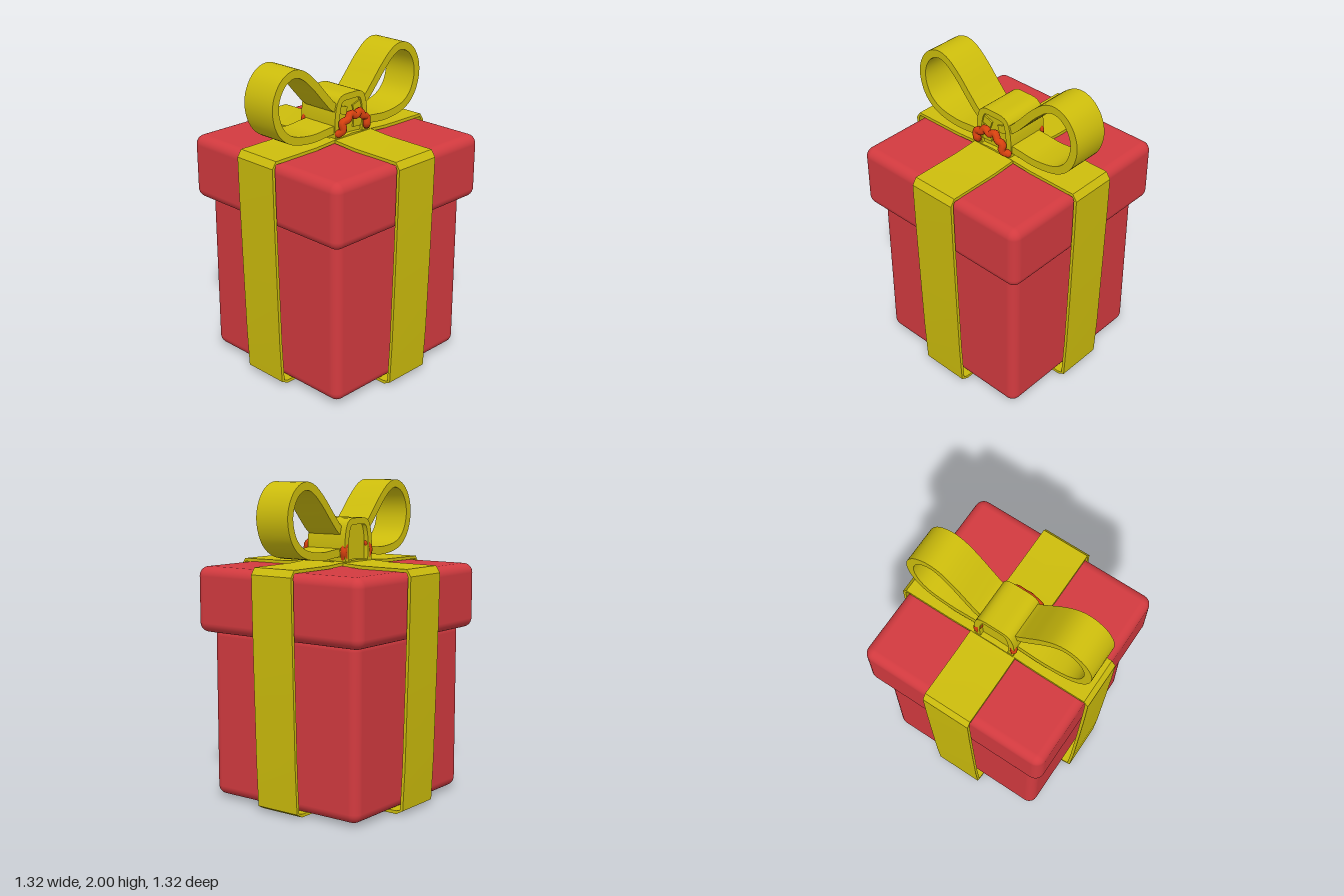
import * as THREE from 'three';
import { toCreasedNormals } from 'three/addons/utils/BufferGeometryUtils.js';
import { RoundedBoxGeometry } from 'three/addons/geometries/RoundedBoxGeometry.js';

const red = new THREE.MeshStandardMaterial({ color: 0xd23a3f });
const yellow = new THREE.MeshStandardMaterial({ color: 0xcdbd0c });
const orange = new THREE.MeshStandardMaterial({ color: 0xd9420f });

const vec = (list) => list.map(([x, y]) => new THREE.Vector2(x, y));
const smooth = (list, n) => new THREE.SplineCurve(vec(list)).getPoints(n);

// Ribbon that follows a centre line in the xy plane and spans z0..z1
function band(points, thickness, z0, z1) {
  const side = (sign) => points.map((p, i) => {
    const a = points[Math.max(i - 1, 0)], b = points[Math.min(i + 1, points.length - 1)];
    const t = b.clone().sub(a).normalize();
    return new THREE.Vector2(p.x - t.y * sign * thickness / 2, p.y + t.x * sign * thickness / 2);
  });
  const shape = new THREE.Shape([...side(1), ...side(-1).reverse()]);
  const geo = new THREE.ExtrudeGeometry(shape, { depth: z1 - z0, bevelEnabled: false });
  geo.translate(0, 0, z0);
  return toCreasedNormals(geo, 0.6);
}

export function createModel() {
  const model = new THREE.Group();
  const add = (name, geo, mat, parent = model) => {
    const mesh = new THREE.Mesh(geo, mat);
    mesh.name = name;
    parent.add(mesh);
    return mesh;
  };

  // Box and overhanging lid
  add('box', new RoundedBoxGeometry(1.115, 1.08, 1.115, 4, 0.06), red).position.y = 0.56;
  add('lid', new RoundedBoxGeometry(1.255, 0.41, 1.255, 4, 0.06), red).position.y = 1.27;

  // Two ribbons wrapped around the box, leaning in toward the base
  const half = [[0.3, 0.012], [0.57, 0.012], [0.608, 0.03], [0.622, 0.3], [0.636, 0.8], [0.646, 1.2],
    [0.65, 1.45], [0.63, 1.483], [0.3, 1.485], [0.15, 1.495]];
  const mirrored = half.map(([x, y]) => [-x, y]).reverse();
  const wrap = vec([[0, 0.012], ...half, [0, 1.505], ...mirrored, [0, 0.012]]);
  add('sideRibbon', band(wrap, 0.02, -0.165, 0.15), yellow);
  const frontRibbon = add('frontRibbon', band(wrap, 0.02, -0.14, 0.165), yellow);
  frontRibbon.rotation.y = -Math.PI / 2;
  frontRibbon.position.y = 0.003;

  // Bow loops, mirrored front and back
  const bow = new THREE.Group();
  bow.name = 'bow';
  model.add(bow);
  const loop = smooth([[0.03, 1.66], [0.13, 1.7], [0.21, 1.78], [0.3, 1.88], [0.39, 1.955], [0.47, 1.972],
    [0.55, 1.93], [0.6, 1.84], [0.603, 1.74], [0.56, 1.64], [0.47, 1.575], [0.32, 1.55], [0.18, 1.56],
    [0.03, 1.57]], 56);
  for (const [name, turn] of [['frontLoop', -Math.PI / 2], ['backLoop', Math.PI / 2]]) {
    add(name, band(loop, 0.05, -0.12, 0.12), yellow, bow).rotation.y = turn;
  }

  // Knot band arching over the middle, with a shorter core inside
  const arch = smooth([[0.115, 1.5], [0.12, 1.6], [0.11, 1.69], [0.08, 1.745], [0, 1.752], [-0.08, 1.745],
    [-0.11, 1.69], [-0.12, 1.6], [-0.115, 1.5]], 32);
  add('knot', band(arch, 0.04, -0.13, 0.16), yellow, bow).rotation.y = -Math.PI / 2;
  add('knotCore', new THREE.BoxGeometry(0.24, 0.23, 0.2), yellow, bow).position.set(-0.01, 1.615, 0);

  // Orange cord: a bumpy arch on the left end, two stubs on the right end
  const cord = (name, pts, radius) => {
    const curve = new THREE.CatmullRomCurve3(pts.map((p) => new THREE.Vector3(...p)));
    const group = new THREE.Group();
    group.name = name;
    add('cord', new THREE.TubeGeometry(curve, 36, radius, 8), orange, group);
    for (const end of [0, 1]) {
      add('cordEnd', new THREE.SphereGeometry(radius, 10, 8), orange, group).position.copy(curve.getPoint(end));
    }
    bow.add(group);
  };
  cord('cordArch', [[0.14, 1.54, 0.12], [0.165, 1.565, 0.105], [0.16, 1.61, 0.11], [0.165, 1.625, 0.065],
    [0.16, 1.655, 0.04], [0.165, 1.635, 0], [0.16, 1.655, -0.04], [0.165, 1.62, -0.065],
    [0.16, 1.605, -0.1], [0.165, 1.56, -0.1], [0.14, 1.54, -0.125]], 0.024);
  for (const s of [-1, 1]) {
    cord('cordStub', [[-0.14, 1.53, s * 0.12], [-0.145, 1.57, s * 0.13], [-0.14, 1.61, s * 0.115]], 0.022);
  }
  return model;
}
